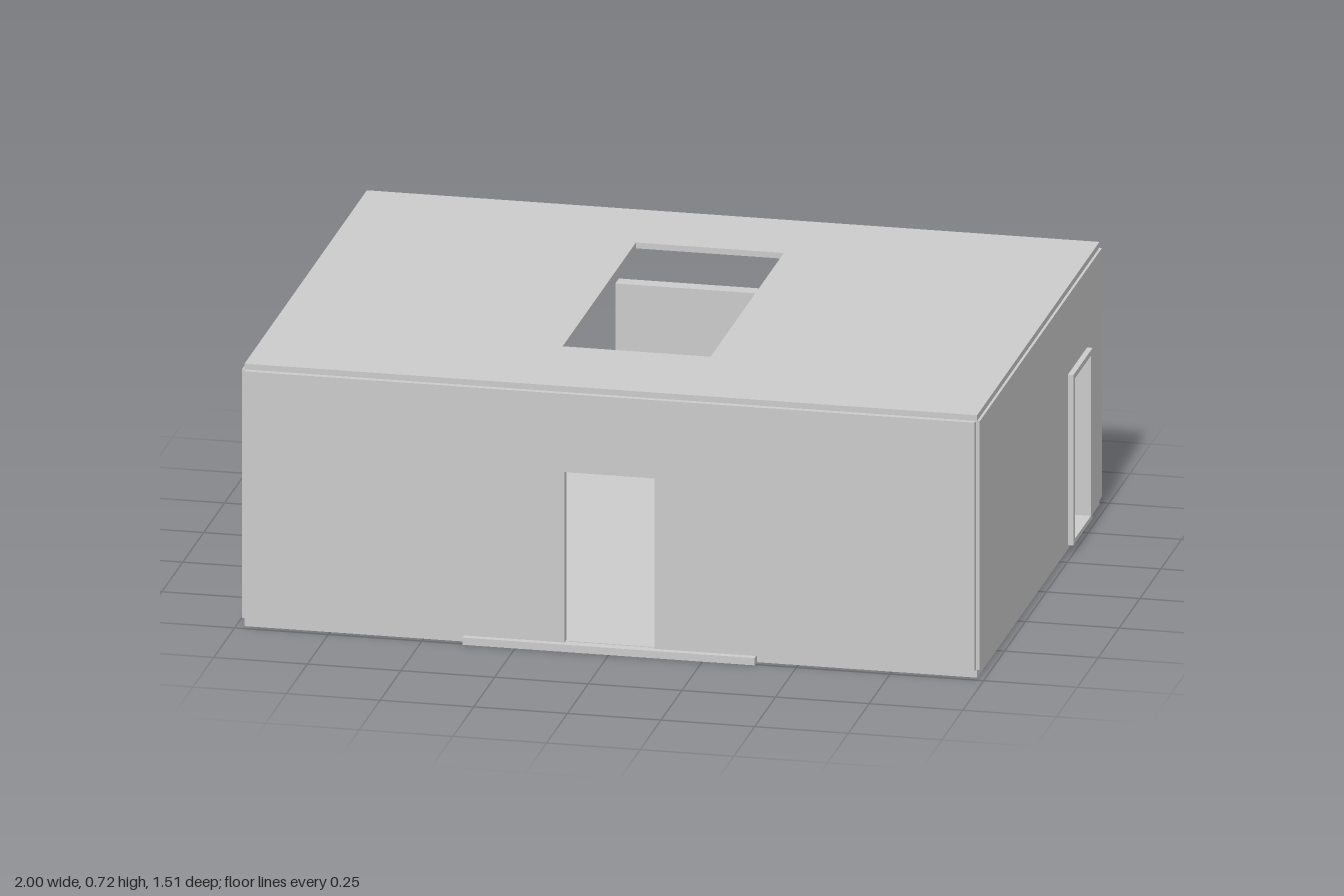
import * as THREE from 'three';

const material = new THREE.MeshStandardMaterial({ color: 0xcccccc, flatShading: true });

function rect(Kind, x0, x1, y0, y1) {
  const r = new Kind();
  r.moveTo(x0, y0);
  r.lineTo(x1, y0);
  r.lineTo(x1, y1);
  r.lineTo(x0, y1);
  r.closePath();
  return r;
}

// Rectangular slab with a rectangular hole, extruded along +z
function holedSlab(outer, hole, depth) {
  const shape = rect(THREE.Shape, ...outer);
  shape.holes.push(rect(THREE.Path, ...hole));
  return new THREE.ExtrudeGeometry(shape, { depth, bevelEnabled: false });
}

// Wall with a doorway that reaches down to the floor
function doorWall(x0, x1, y0, y1, d0, d1, doorTop, depth) {
  const pts = [[x0, y0], [d0, y0], [d0, doorTop], [d1, doorTop], [d1, y0], [x1, y0], [x1, y1], [x0, y1]];
  const shape = new THREE.Shape(pts.map(([x, y]) => new THREE.Vector2(x, y)));
  return new THREE.ExtrudeGeometry(shape, { depth, bevelEnabled: false });
}

export function createModel() {
  const group = new THREE.Group();
  const add = (name, geometry) => {
    const mesh = new THREE.Mesh(geometry, material);
    mesh.name = name;
    group.add(mesh);
    return mesh;
  };
  const box = (name, x0, x1, y0, y1, z0, z1) =>
    add(name, new THREE.BoxGeometry(x1 - x0, y1 - y0, z1 - z0))
      .position.set((x0 + x1) / 2, (y0 + y1) / 2, (z0 + z1) / 2);

  const floorTop = 0.022, wallTop = 0.705, wall = 0.02;

  // Floor and front step
  box('floor', -0.978, 0.978, 0, floorTop, -0.735, 0.73);
  box('frontStep', -0.39, 0.39, 0, 0.02, 0.73, 0.757);

  // Roof with skylight opening
  const roof = holedSlab([-0.978, 0.978, -0.73, 0.735], [-0.2, 0.195, -0.41, 0.467], 0.016);
  roof.rotateX(-Math.PI / 2);
  add('roof', roof).position.y = wallTop;

  // Front wall with doorway
  add('frontWall', doorWall(-0.975, 0.975, floorTop, wallTop, -0.12, 0.12, 0.49, wall)).position.z = 0.725;

  // Side walls, each with a framed doorway
  for (const [side, doorZ] of [[1, -0.44], [-1, -0.25]]) {
    const label = side > 0 ? 'left' : 'right';
    const wallGeo = doorWall(-0.735, 0.73, floorTop, wallTop, doorZ - 0.11, doorZ + 0.11, 0.485, wall);
    wallGeo.rotateY(-Math.PI / 2);
    add(label + 'Wall', wallGeo).position.x = side > 0 ? 0.985 : -0.985 + wall;

    const frameDepth = 0.06;
    const frame = holedSlab(
      [doorZ - 0.115, doorZ + 0.115, floorTop, 0.49],
      [doorZ - 0.095, doorZ + 0.095, 0.035, 0.475], frameDepth);
    frame.rotateY(-Math.PI / 2);
    add(label + 'DoorFrame', frame).position.x = side > 0 ? 1 : -1 + frameDepth;
  }

  // Free-standing panel in the open back, with two small handles inside
  box('backPanel', -0.31, 0.3, floorTop, 0.52, -0.757, -0.715);
  for (const x of [-0.035, 0.033]) box('handle', x - 0.016, x + 0.016, 0.255, 0.261, -0.715, -0.708);

  // Rails above and below the two back openings
  for (const [x0, x1] of [[-0.965, -0.31], [0.3, 0.965]]) {
    box('bottomRail', x0, x1, floorTop, 0.04, -0.735, -0.715);
    box('topRail', x0, x1, 0.687, wallTop, -0.735, -0.715);
  }
  return group;
}
